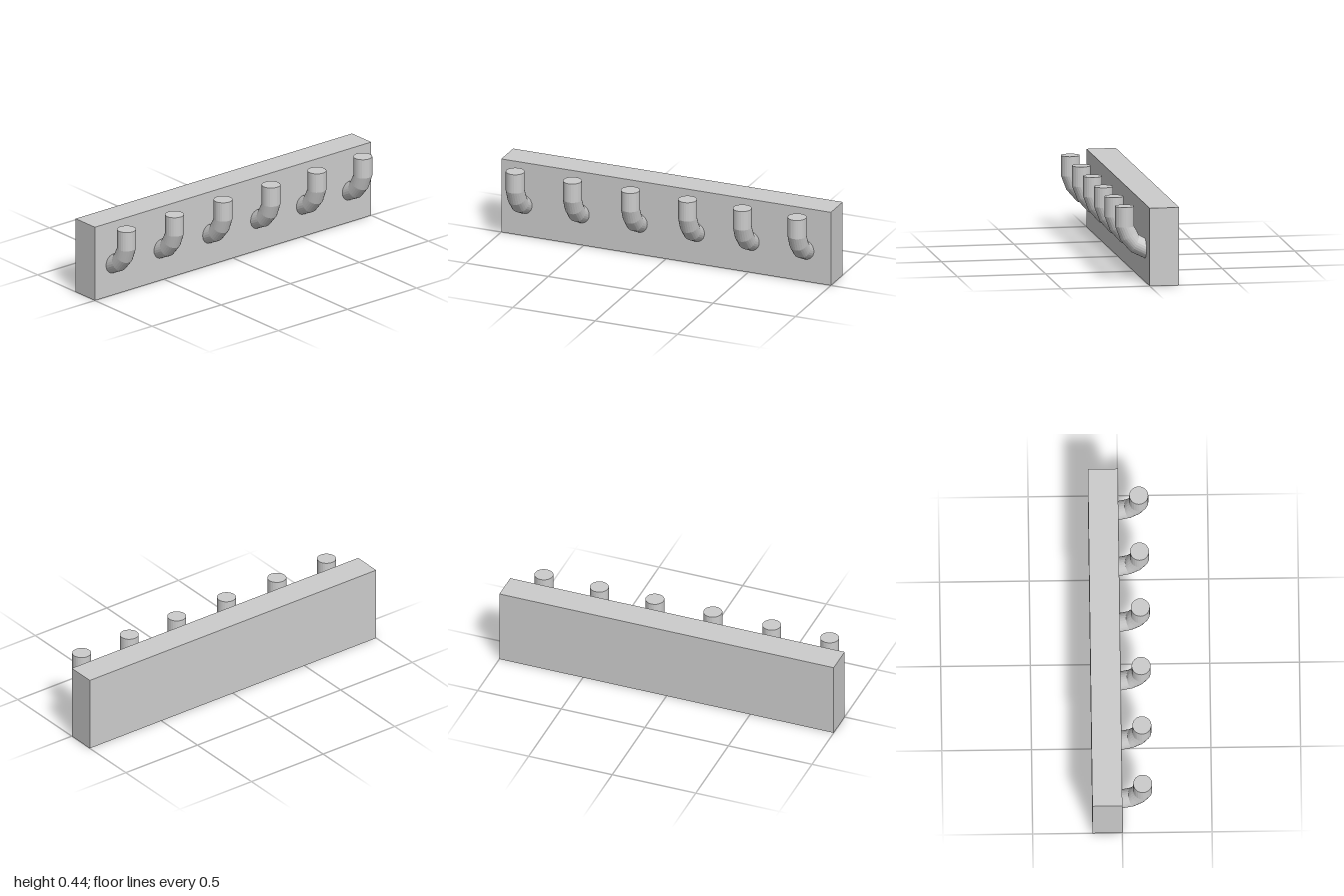
import * as THREE from 'three';

const SIDES = 24;
const RADIUS = 0.053;

// Peg centreline, top to root: [y, z, tilt of the ring in degrees]
const RINGS = [
  [0.43, 0.115, 0],
  [0.317, 0.115, 0],
  [0.264, 0.092, 32],
  [0.2175, 0.0565, 66],
  [0.173, -0.03, 84],
];

// Bent peg swept through the rings, capped at both ends
function pegGeometry() {
  const rings = RINGS.map(([y, z, deg]) => {
    const t = THREE.MathUtils.degToRad(deg);
    return Array.from({ length: SIDES }, (_, j) => {
      const a = (j / SIDES) * Math.PI * 2;
      const s = RADIUS * Math.sin(a);
      return [RADIUS * Math.cos(a), y - s * Math.sin(t), z + s * Math.cos(t)];
    });
  });
  const centre = ([y, z]) => [0, y, z];
  const last = RINGS.length - 1;
  const pos = [];
  const tri = (a, b, c) => pos.push(...a, ...b, ...c);

  for (let j = 0; j < SIDES; j++) {
    const k = (j + 1) % SIDES;
    for (let i = 0; i < last; i++) {
      tri(rings[i][j], rings[i][k], rings[i + 1][j]);
      tri(rings[i][k], rings[i + 1][k], rings[i + 1][j]);
    }
    tri(centre(RINGS[0]), rings[0][k], rings[0][j]);
    tri(centre(RINGS[last]), rings[last][j], rings[last][k]);
  }

  const geo = new THREE.BufferGeometry();
  geo.setAttribute('position', new THREE.Float32BufferAttribute(pos, 3));
  geo.computeVertexNormals();
  return geo;
}

export function createModel() {
  const group = new THREE.Group();
  group.name = 'coatRack';
  const material = new THREE.MeshStandardMaterial({ color: 0xcccccc, flatShading: true });

  // Wall board
  const board = new THREE.Mesh(new THREE.BoxGeometry(2, 0.44, 0.167), material);
  board.name = 'board';
  board.position.set(0, 0.22, -0.0835);
  group.add(board);

  // Row of six pegs, slightly uneven in spacing
  const peg = pegGeometry();
  [-0.866, -0.519, -0.167, 0.18, 0.512, 0.844].forEach((x, i) => {
    const mesh = new THREE.Mesh(peg, material);
    mesh.name = `peg${i + 1}`;
    mesh.position.x = x;
    group.add(mesh);
  });

  return group;
}
